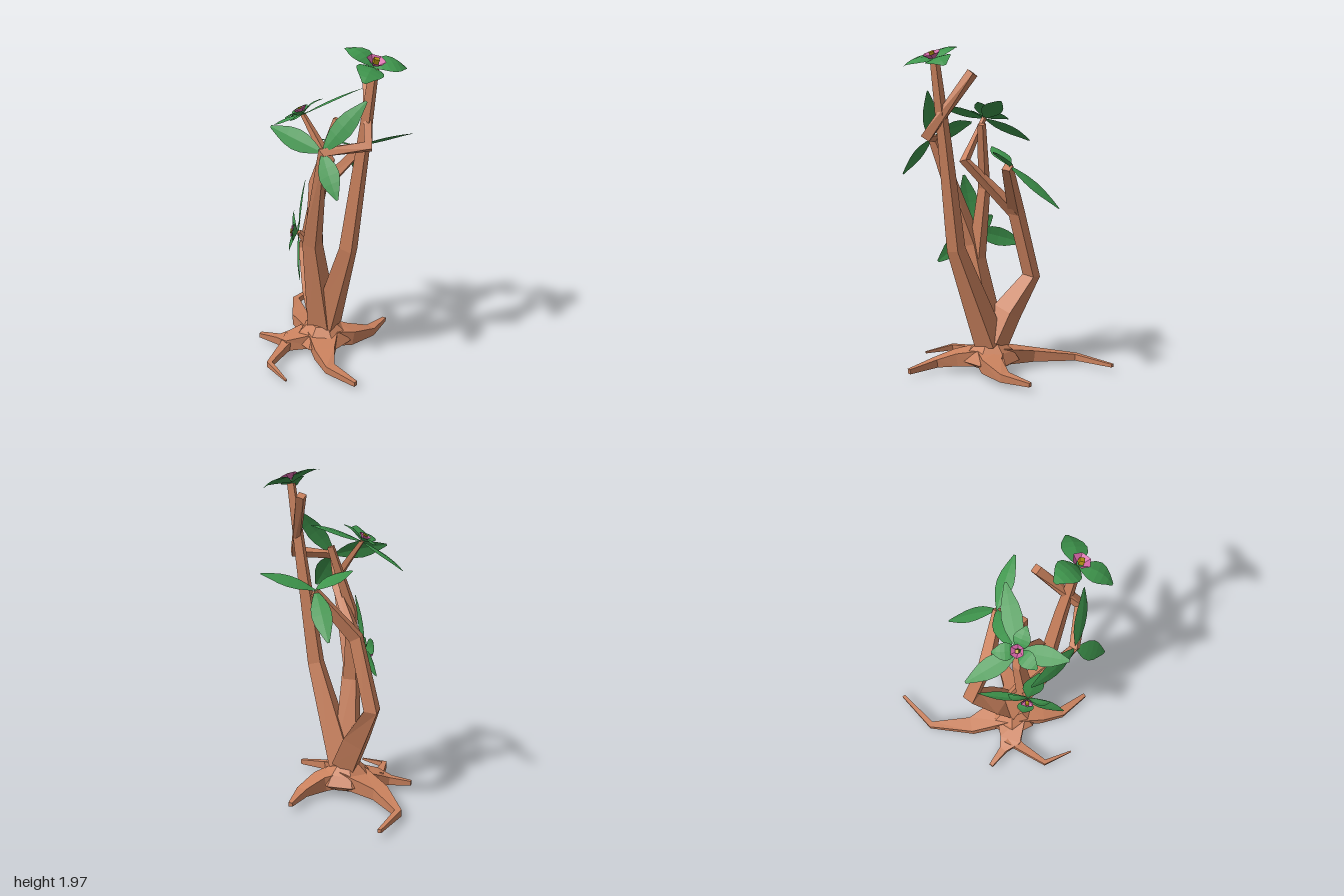
import * as THREE from 'three';

const V = (a) => new THREE.Vector3(a[0], a[1], a[2]);

const mat = (name, color, extra = {}) => {
  const m = new THREE.MeshStandardMaterial({ color, ...extra });
  m.name = name;
  return m;
};

// Faceted geometry from points and triangle indices
function faceted(points, index) {
  const g = new THREE.BufferGeometry().setFromPoints(points);
  g.setIndex(index);
  const flat = g.toNonIndexed();
  flat.computeVertexNormals();
  return flat;
}

// Four-sided tapering limb; each point is [x, y, z, halfWidth, halfHeight]
function limb(path, ref) {
  const pts = [], idx = [], last = path.length - 1;
  path.forEach((p, i) => {
    const c = V(p), t = new THREE.Vector3();
    if (i > 0) t.add(c.clone().sub(V(path[i - 1])).normalize());
    if (i < last) t.add(V(path[i + 1]).sub(c).normalize());
    t.normalize();
    const s = ref.clone().cross(t).normalize();
    const u = t.clone().cross(s);
    const w = p[3], h = p[4] ?? w;
    for (const [a, b] of [[1, 1], [-1, 1], [-1, -1], [1, -1]])
      pts.push(c.clone().addScaledVector(s, a * w).addScaledVector(u, b * h));
    if (i === last) return;
    for (let k = 0; k < 4; k++) {
      const a = i * 4 + k, b = i * 4 + (k + 1) % 4;
      idx.push(a, b, b + 4, a, b + 4, a + 4);
    }
  });
  const e = last * 4;
  idx.push(0, 2, 1, 0, 3, 2, e, e + 1, e + 2, e, e + 2, e + 3);
  return faceted(pts, idx);
}

// Thin bowed leaf from base to tip, its face turned towards n
function leaf(base, tip, n, width, bow) {
  const d = tip.clone().sub(base);
  const s = n.clone().cross(d).normalize();
  const up = d.clone().normalize().cross(s);
  const profile = [0.08, 0.55, 0.9, 1, 0.85, 0.5, 0.12];
  const pts = [], idx = [];
  profile.forEach((f, i) => {
    const t = i / (profile.length - 1);
    const c = base.clone().addScaledVector(d, t).addScaledVector(up, bow * 4 * t * (1 - t));
    for (const k of [-1, 0, 1])
      pts.push(c.clone().addScaledVector(s, k * f * width / 2).addScaledVector(up, k ? -0.06 * f * width : 0));
    if (!i) return;
    for (const k of [0, 1]) {
      const a = (i - 1) * 3 + k, b = a + 3;
      idx.push(a, b + 1, b, a, a + 1, b + 1);
    }
  });
  const g = faceted(pts, idx);
  return g;
}

export function createModel() {
  const model = new THREE.Group();
  const bark = mat('bark', 0xcb825e);
  const green = mat('leaf green', 0x3f964d, { side: THREE.DoubleSide });
  const pink = mat('petal pink', 0xd766a8, { side: THREE.DoubleSide });
  const yellow = mat('pollen yellow', 0xb89a12);
  const add = (name, geometry, material, parent = model) => {
    const m = new THREE.Mesh(geometry, material);
    m.name = name;
    parent.add(m);
    return m;
  };

  // Root crown
  const crown = new THREE.LatheGeometry(
    [[0, 0], [0.1, 0.025], [0.18, 0.07], [0.14, 0.13], [0.085, 0.18], [0, 0.19]].map(p => new THREE.Vector2(...p)), 7).toNonIndexed();
  crown.computeVertexNormals();
  add('rootCrown', crown, bark).position.set(-0.05, 0, 0.08);

  // Spreading roots
  const Y = new THREE.Vector3(0, 1, 0), Z = new THREE.Vector3(0, 0, 1);
  [
    [[-0.08, 0.1, 0.06, 0.1, 0.05], [-0.3, 0.06, -0.07, 0.05, 0.035], [-0.46, 0.04, -0.295, 0.02, 0.02], [-0.416, 0.04, -0.575, 0.01, 0.01]],
    [[-0.02, 0.1, 0.06, 0.09, 0.05], [0.09, 0.075, -0.02, 0.06, 0.045], [0.165, 0.05, -0.16, 0.033, 0.025], [0.177, 0.04, -0.345, 0.012, 0.012]],
    [[-0.04, 0.1, 0.1, 0.1, 0.05], [0.06, 0.075, 0.26, 0.06, 0.04], [0.15, 0.05, 0.355, 0.03, 0.025], [0.347, 0.035, 0.407, 0.012, 0.015]],
    [[-0.08, 0.1, 0.1, 0.1, 0.05], [-0.22, 0.06, 0.2, 0.07, 0.035], [-0.3, 0.045, 0.2, 0.025, 0.025], [-0.435, 0.04, 0.2, 0.013, 0.014]],
    [[-0.21, 0.06, 0.18, 0.05, 0.035], [-0.215, 0.05, 0.28, 0.027, 0.025], [-0.2, 0.045, 0.475, 0.016, 0.018], [-0.03, 0.035, 0.567, 0.005, 0.006]],
  ].forEach((p, i) => add('root' + (i + 1), limb(p, Y), bark));

  // Stems and their forks
  const stems = {
    frontStem: [[-0.05, 0.16, 0.075, 0.07], [-0.045, 0.78, 0.21, 0.043], [0.12, 1.43, 0.375, 0.024], [0.335, 1.46, 0.26, 0.028], [0.215, 1.82, 0.025, 0.024]],
    tallStem: [[-0.03, 0.18, 0.07, 0.07], [0.175, 0.78, 0.175, 0.04], [0.265, 1.4, 0.185, 0.029], [0.335, 1.88, 0.2, 0.02]],
    backStem: [[-0.05, 0.18, 0.06, 0.07], [-0.13, 0.36, 0.01, 0.065], [-0.25, 0.58, -0.09, 0.04], [-0.14, 1.0, -0.045, 0.036], [0.09, 1.28, -0.13, 0.025]],
    hookedBranch: [[-0.15, 0.97, -0.05, 0.033], [0.06, 1.3, 0.19, 0.024], [-0.12, 1.55, 0.17, 0.011]],
    innerBranch: [[-0.05, 0.7, 0.18, 0.04], [-0.065, 1.13, 0.135, 0.027], [0.05, 1.52, 0.075, 0.018]],
    flowerTwig: [[-0.05, 0.73, 0.19, 0.025], [-0.115, 0.85, 0.245, 0.012]],
  };
  for (const [name, path] of Object.entries(stems)) add(name, limb(path, Z), bark);

  // Leaf whorls: centre, facing, leaf tips
  const whorls = [
    { c: [0.12, 1.43, 0.385], n: [0.1, 0.4, 0.9], tips: [[-0.23, 1.51, 0.34], [0.325, 1.715, 0.265], [0.27, 1.22, 0.495]] },
    { c: [0.08, 1.29, -0.135], n: [0.1, 0.85, -0.4], tips: [[0.38, 1.39, -0.236], [-0.07, 1.04, -0.385], [-0.08, 1.38, 0.085]] },
    { c: [-0.12, 1.545, 0.17], n: [-0.48, 0.87, 0.06], tips: [[-0.4, 1.4, 0.02], [0.115, 1.66, -0.1], [-0.02, 1.61, 0.43]] },
    { c: [-0.115, 0.85, 0.245], n: [-0.85, 0.15, 0.5], tips: [[-0.05, 1.2, 0.275], [0, 0.65, 0.44], [-0.26, 0.775, -0.02]] },
  ];
  whorls.forEach(({ c, n, tips }, i) => {
    const group = new THREE.Group();
    group.name = 'leafWhorl' + (i + 1);
    model.add(group);
    tips.forEach(t => add('leaf', leaf(V(c), V(t), V(n).normalize(), 0.12, 0.012), green, group));
  });

  // Flowers: broad green sepals, pink cup, yellow heart
  const flowers = [
    { c: [0.335, 1.885, 0.205], n: [0.36, 0.92, 0.1], len: 0.2, w: 0.155, bow: 0.035, dirs: [[-1, 0, -0.15], [0.65, 0, -0.8], [0.25, 0, 1]] },
    { c: [-0.12, 1.55, 0.17], n: [-0.48, 0.87, 0.06], len: 0.145, w: 0.1, bow: 0.02, dirs: [[-0.6, -0.3, -0.9], [1, 0.5, -0.25], [-0.15, 0, 1]] },
    { c: [-0.12, 0.85, 0.25], n: [-0.85, 0.15, 0.5], len: 0.145, w: 0.1, bow: 0.02, dirs: [[-0.1, -0.95, -0.1], [-0.3, 0.5, -0.6], [0.4, 0.3, 0.7]] },
  ];
  flowers.forEach(({ c, n, len, w, bow, dirs }, i) => {
    const group = new THREE.Group();
    group.name = 'flower' + (i + 1);
    model.add(group);
    const N = V(n).normalize(), C = V(c);
    dirs.forEach(d => {
      const D = V(d).projectOnPlane(N).normalize();
      const tip = C.clone().addScaledVector(D, len).addScaledVector(N, i ? 0.03 : 0.005);
      add('sepal', leaf(C, tip, N, w, bow), green, group);
    });
    const heart = new THREE.Group();
    heart.name = 'blossom';
    heart.position.copy(C);
    heart.quaternion.setFromUnitVectors(Y, N);
    heart.scale.setScalar(i ? 0.75 : 1);
    group.add(heart);
    const cup = new THREE.CylinderGeometry(0.055, 0.02, 0.03, 6, 1, true).toNonIndexed();
    cup.computeVertexNormals();
    add('petalCup', cup, pink, heart).position.y = 0.035;
    const core = add('pollenCore', new THREE.BoxGeometry(0.028, 0.03, 0.028), yellow, heart);
    core.position.y = 0.042;
    core.rotation.y = 0.6;
  });

  return model;
}
